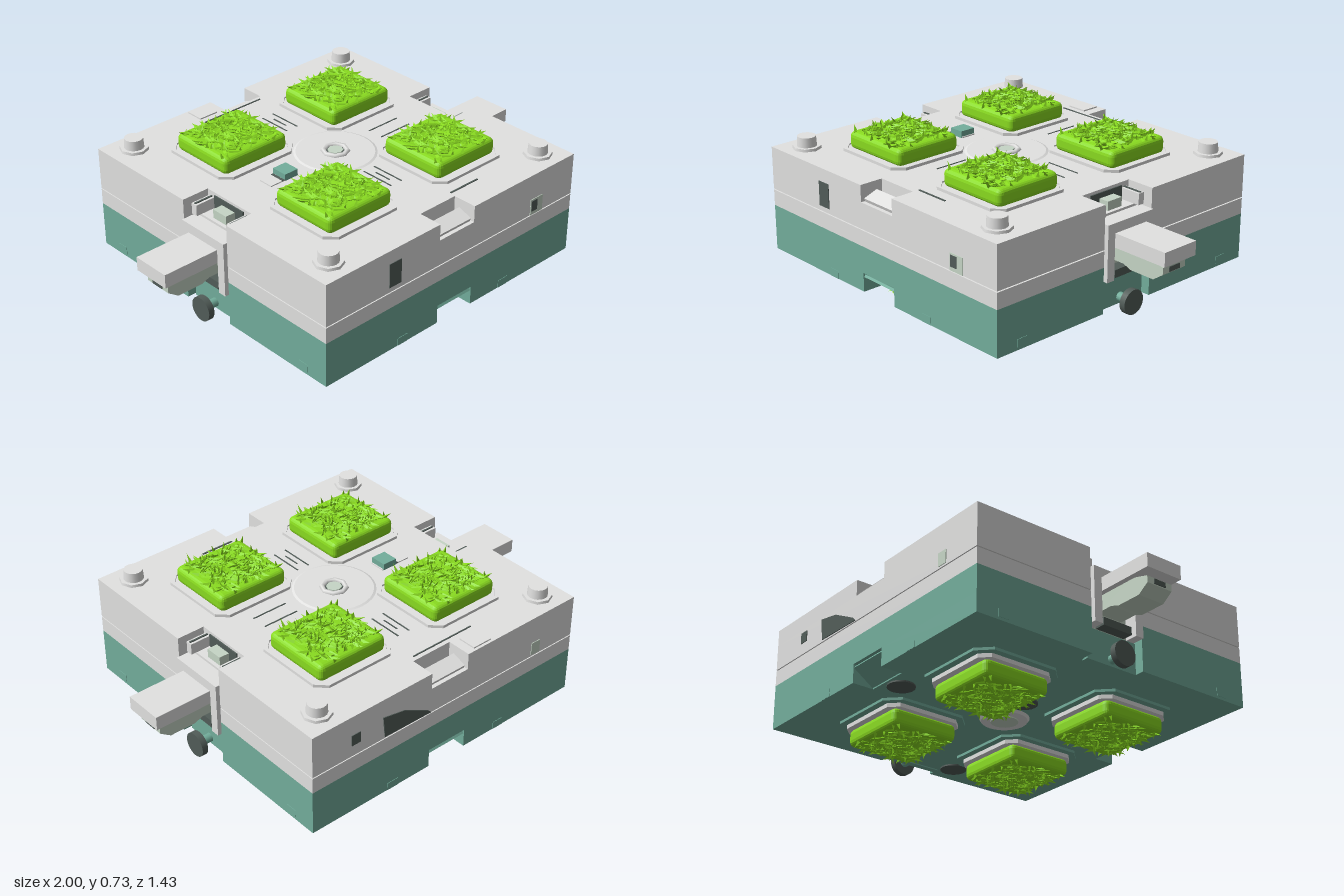
import * as THREE from 'three';
import { mergeGeometries } from 'three/addons/utils/BufferGeometryUtils.js';
import { RoundedBoxGeometry } from 'three/addons/geometries/RoundedBoxGeometry.js';

const mat = (name, color) => {
  const m = new THREE.MeshStandardMaterial({ color });
  m.name = name;
  return m;
};

export function createModel() {
  const root = new THREE.Group();
  root.name = 'modularBlock';
  const grey = mat('shellGrey', 0xe2e2e1);
  const teal = mat('baseTeal', 0x73ae9c);
  const dark = mat('darkRubber', 0x525d59);
  const pale = mat('plugPaleGreen', 0xc6d6c6);
  const green = mat('grassGreen', 0x8adc20);
  green.flatShading = true;

  const add = (name, geo, m, x = 0, y = 0, z = 0, parent = root) => {
    const mesh = new THREE.Mesh(geo, m);
    mesh.name = name;
    mesh.position.set(x, y, z);
    parent.add(mesh);
    return mesh;
  };
  const box = (name, w, h, d, m, x, y, z, parent) =>
    add(name, new THREE.BoxGeometry(w, h, d), m, x, y, z, parent);

  // Flat outline in plan, extruded upward from y0 to y1
  const slab = (name, pts, y0, y1, m, x = 0, z = 0, hole) => {
    const shape = new THREE.Shape(pts.map(p => new THREE.Vector2(...p)));
    if (hole) shape.holes.push(new THREE.Path(hole.map(p => new THREE.Vector2(...p))));
    const geo = new THREE.ExtrudeGeometry(shape, { depth: y1 - y0, bevelEnabled: false });
    geo.rotateX(-Math.PI / 2);
    return add(name, geo, m, x, y0, z);
  };

  // Block plan with optional notches in its sides (sx) and in front and back (sz)
  const plan = (X, Z, sx, sz) => {
    const right = sx ? [[X, -0.135], [X - sx, -0.135], [X - sx, 0.135], [X, 0.135]] : [];
    const back = sz ? [[0.1, Z], [0.1, Z - sz], [-0.1, Z - sz], [-0.1, Z]] : [];
    const flip = a => a.map(([x, y]) => [-x, -y]);
    return [[X, -Z], ...right, [X, Z], ...back, [-X, Z], ...flip(right), [-X, -Z], ...flip(back)];
  };
  const octagon = (w, d, c) => [[w - c, -d], [w, c - d], [w, d - c], [w - c, d],
    [c - w, d], [-w, d - c], [-w, c - d], [c - w, -d]];

  // Two-tone body in notched layers
  slab('lowerBase', plan(0.72, 0.71, 0.06, 0.1), 0.13, 0.215, teal);
  slab('upperBase', plan(0.72, 0.71, 0.06, 0), 0.215, 0.335, teal);
  slab('lowerShell', plan(0.72, 0.71, 0.06, 0), 0.335, 0.407, grey);
  slab('seam', plan(0.712, 0.702, 0.06, 0), 0.407, 0.412, dark);
  slab('upperShell', plan(0.72, 0.71, 0.06, 0), 0.412, 0.53, grey);
  slab('topShell', plan(0.72, 0.71, 0.13, 0.11), 0.53, 0.605, grey);

  // Grass pad: a rounded mat under matted and upright blades, reused for every tile
  let seed = 11;
  const rnd = () => (seed = (seed * 16807) % 2147483647) / 2147483647;
  const grassGeometry = () => {
    const parts = [new RoundedBoxGeometry(0.345, 0.08, 0.325, 2, 0.025).toNonIndexed()];
    parts[0].translate(0, 0.037, 0);
    const up = new THREE.Vector3(0, 1, 0);
    const blade = (radius, h, tilt, x, y, z) => {
      const geo = new THREE.ConeGeometry(radius, h, 3, 1, true).toNonIndexed();
      geo.translate(0, h / 2, 0);
      const a = rnd() * Math.PI * 2;
      const lean = new THREE.Vector3(Math.cos(a) * Math.sin(tilt), Math.cos(tilt), Math.sin(a) * Math.sin(tilt));
      geo.applyQuaternion(new THREE.Quaternion().setFromUnitVectors(up, lean));
      geo.translate(x, y, z);
      parts.push(geo);
    };
    for (let i = 0; i < 260; i++)
      blade(0.012, 0.05, 1.2 + rnd() * 0.25, (rnd() - 0.5) * 0.28, 0.073, (rnd() - 0.5) * 0.26);
    for (let i = 0; i < 70; i++)
      blade(0.009, 0.02 + rnd() * 0.025, rnd() * 0.7, (rnd() - 0.5) * 0.33, 0.07, (rnd() - 0.5) * 0.31);
    return mergeGeometries(parts);
  };
  const grass = grassGeometry();

  for (const sx of [-1, 1]) for (const sz of [-1, 1]) {
    const x = sx * 0.307, z = sz * 0.315;
    // Top tile with chamfered rim
    slab('topTileRim', octagon(0.205, 0.2, 0.045), 0.605, 0.618, grey, x, z, octagon(0.19, 0.185, 0.04));
    slab('topTileTray', octagon(0.187, 0.182, 0.035), 0.605, 0.613, grey, x, z);
    add('topGrass', grass, green, x, 0.608, z);
    // Underside tile
    slab('bottomTileRim', octagon(0.22, 0.215, 0.06), 0.118, 0.13, teal, x, z);
    slab('bottomTileTray', octagon(0.19, 0.185, 0.04), 0.1, 0.118, grey, x, z);
    add('bottomGrass', grass, green, x, 0.104, z).rotation.x = Math.PI;
    // Corner bolt
    add('boltCollar', new THREE.CylinderGeometry(0.062, 0.064, 0.014, 8), grey, sx * 0.607, 0.61, sz * 0.605);
    add('boltHead', new THREE.CylinderGeometry(0.041, 0.044, 0.045, 16), grey, sx * 0.607, 0.638, sz * 0.605);
    // Small clips along the lower edges
    box('edgeClip', 0.055, 0.035, 0.006, teal, sx * 0.3, 0.148, sz * 0.709);
    box('sideClip', 0.006, 0.035, 0.05, teal, sx * 0.719, 0.16, sz * 0.58);
  }

  // Side couplings, the right one turned half round
  for (const s of [1, -1]) {
    const side = new THREE.Group();
    side.name = s > 0 ? 'leftCoupling' : 'rightCoupling';
    side.rotation.y = s > 0 ? 0 : Math.PI;
    root.add(side);
    box('couplingTop', 0.08, 0.045, 0.26, grey, 0.695, 0.497, 0, side);
    box('couplingBack', 0.02, 0.21, 0.26, pale, 0.665, 0.375, 0, side);
    for (const z of [-0.11, 0.11]) {
      box('couplingPost', 0.08, 0.21, 0.04, grey, 0.695, 0.375, z, side);
      box('couplingClip', 0.11, 0.05, 0.03, grey, 0.63, 0.555, z, side);
      box('clipSlot', 0.1, 0.004, 0.008, dark, 0.63, 0.582, z, side);
    }
    box('latchRecess', 0.008, 0.06, 0.18, dark, 0.592, 0.563, 0, side);
    box('latchBlock', 0.05, 0.04, 0.08, pale, 0.618, 0.55, 0, side);
    box('arm', 0.3, 0.062, 0.18, grey, 0.85, 0.445, 0, side);
    // Tapered plug below the arm
    const profile = new THREE.Shape([[0.67, 0.345], [0.76, 0.345], [0.8, 0.33], [0.92, 0.33],
      [0.97, 0.365], [0.97, 0.395], [0.9, 0.414], [0.67, 0.414]].map(p => new THREE.Vector2(...p)));
    const plug = new THREE.ExtrudeGeometry(profile, { depth: 0.13, bevelEnabled: false });
    add('plug', plug, pale, 0, 0, -0.065, side);
    box('plugSocket', 0.006, 0.022, 0.06, dark, 0.971, 0.38, 0, side);
    box('plugRest', 0.07, 0.035, 0.15, dark, 0.69, 0.29, 0, side);
    box('lowerPanel', 0.03, 0.14, 0.26, teal, 0.668, 0.195, 0, side);
    // Wheel
    const wheel = add('wheel', new THREE.CylinderGeometry(0.055, 0.055, 0.028, 24), dark, 0.749, 0.155, 0, side);
    wheel.rotation.z = Math.PI / 2;
    add('axle', new THREE.CylinderGeometry(0.02, 0.02, 0.08, 12), teal, 0.705, 0.155, 0, side)
      .rotation.z = Math.PI / 2;
  }

  // Front and back latch pockets
  for (const s of [1, -1]) {
    box('latchLedge', 0.19, 0.025, 0.07, grey, 0, 0.545, s * 0.66).rotation.x = s * 0.35;
    box('lowerLatch', 0.196, 0.012, 0.115, teal, 0, 0.17, s * 0.658).rotation.x = -s * 0.6;
  }
  box('backTopPlate', 0.095, 0.006, 0.085, grey, -0.19, 0.608, -0.655);
  box('backGroove', 0.32, 0.004, 0.006, dark, -0.08, 0.606, -0.578);
  box('frontGroove', 0.16, 0.004, 0.008, dark, 0.185, 0.606, 0.572);

  // Windows in front and back walls
  box('frontWindow', 0.065, 0.11, 0.006, dark, -0.35, 0.49, 0.71);
  box('frontPort', 0.075, 0.075, 0.006, pale, 0.49, 0.45, 0.71);
  box('frontPortShade', 0.035, 0.05, 0.008, dark, 0.475, 0.455, 0.711);
  box('backPort', 0.05, 0.06, 0.006, pale, -0.5, 0.45, -0.71);
  box('backSlot', 0.045, 0.05, 0.006, dark, 0.5, 0.49, -0.71);
  const tear = new THREE.Shape([[0.35, 0.42], [0.1, 0.415], [0.12, 0.435], [0.25, 0.5], [0.36, 0.52]]
    .map(p => new THREE.Vector2(...p)));
  add('backWindow', new THREE.ExtrudeGeometry(tear, { depth: 0.006, bevelEnabled: false }), dark, 0, 0, -0.714);

  // Centre dish, socket and slots on top
  add('centreDish', new THREE.CylinderGeometry(0.17, 0.18, 0.004, 32), grey, 0, 0.607, 0);
  const ring = new THREE.TorusGeometry(0.052, 0.012, 6, 8);
  ring.rotateX(Math.PI / 2);
  add('centreSocketRing', ring, grey, 0, 0.61, 0);
  add('centreSocketHole', new THREE.CylinderGeometry(0.042, 0.042, 0.005, 8), dark, 0, 0.608, 0);
  add('centrePin', new THREE.CylinderGeometry(0.034, 0.034, 0.012, 8), pale, 0, 0.61, 0);
  for (const z of [-0.355, 0.285]) for (const x of [-0.03, 0, 0.03])
    box('ventSlot', 0.006, 0.004, x ? 0.16 : 0.08, dark, x, 0.605, z);
  for (const z of [-0.03, 0.045]) box('ventSlot', 0.17, 0.004, 0.006, dark, 0.315, 0.605, z);
  box('buttonSurround', 0.15, 0.006, 0.07, grey, -0.32, 0.607, 0);
  box('button', 0.07, 0.03, 0.075, teal, -0.285, 0.62, 0);
  box('buttonGap', 0.012, 0.005, 0.07, dark, -0.328, 0.609, 0);

  // Underside hub and rubber feet
  add('bottomHub', new THREE.CylinderGeometry(0.11, 0.1, 0.014, 24), grey, 0, 0.125, 0);
  add('bottomHubHole', new THREE.CylinderGeometry(0.06, 0.06, 0.006, 16), pale, 0, 0.116, 0);
  for (const [x, z] of [[0.6, -0.18], [0.6, 0.18], [0, -0.54], [-0.18, -0.04]])
    add('foot', new THREE.CylinderGeometry(0.06, 0.06, 0.008, 20), dark, x, 0.127, z);

  return root;
}
